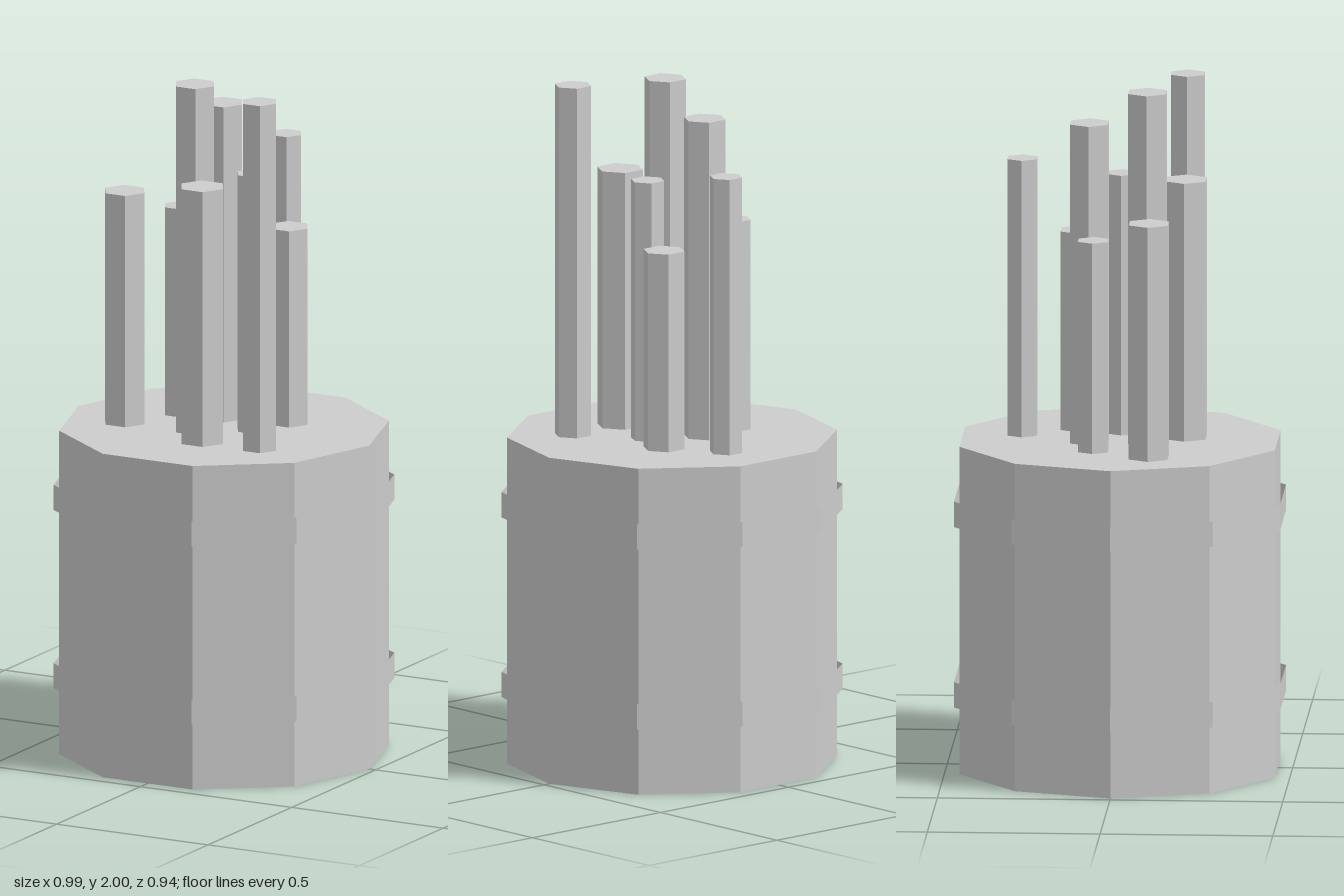
import * as THREE from 'three';

export function createModel() {
  const model = new THREE.Group();
  const grey = new THREE.MeshStandardMaterial({ color: 0xcccccc, flatShading: true });
  grey.name = 'light grey';
  const bandGrey = grey.clone(); // same colour, open surface
  bandGrey.side = THREE.DoubleSide;

  // Faceted prism with a corner pointing along +x
  function prism(name, sides, radius, bottom, top, x = 0, z = 0, open = false) {
    const geometry = new THREE.CylinderGeometry(radius, radius, top - bottom, sides, 1, open);
    geometry.rotateY(Math.PI / 2);
    const mesh = new THREE.Mesh(geometry, open ? bandGrey : grey);
    mesh.name = name;
    mesh.position.set(x, (top + bottom) / 2, z);
    model.add(mesh);
  }

  const barrelTop = 0.965;
  prism('barrel', 10, 0.48, 0, barrelTop);

  // Open hoops standing slightly off the barrel
  prism('lowerBand', 10, 0.496, 0.197, 0.272, 0, 0, true);
  prism('upperBand', 10, 0.496, 0.729, 0.804, 0, 0, true);

  // Hexagonal rods: x, z, radius, top
  const rods = [
    [0.048, -0.285, 0.049, 1.78],
    [0.145, -0.125, 0.062, 1.55],
    [-0.05, -0.085, 0.063, 1.905],
    [-0.182, -0.067, 0.05, 1.585],
    [0.095, 0, 0.05, 1.73],
    [-0.05, 0.083, 0.063, 1.997],
    [-0.273, 0.099, 0.065, 1.655],
    [0.032, 0.188, 0.069, 1.725],
    [0.219, 0.184, 0.055, 2],
  ];
  rods.forEach(([x, z, radius, top], i) =>
    prism(`rod${i + 1}`, 6, radius, barrelTop - 0.02, top, x, z));

  return model;
}
